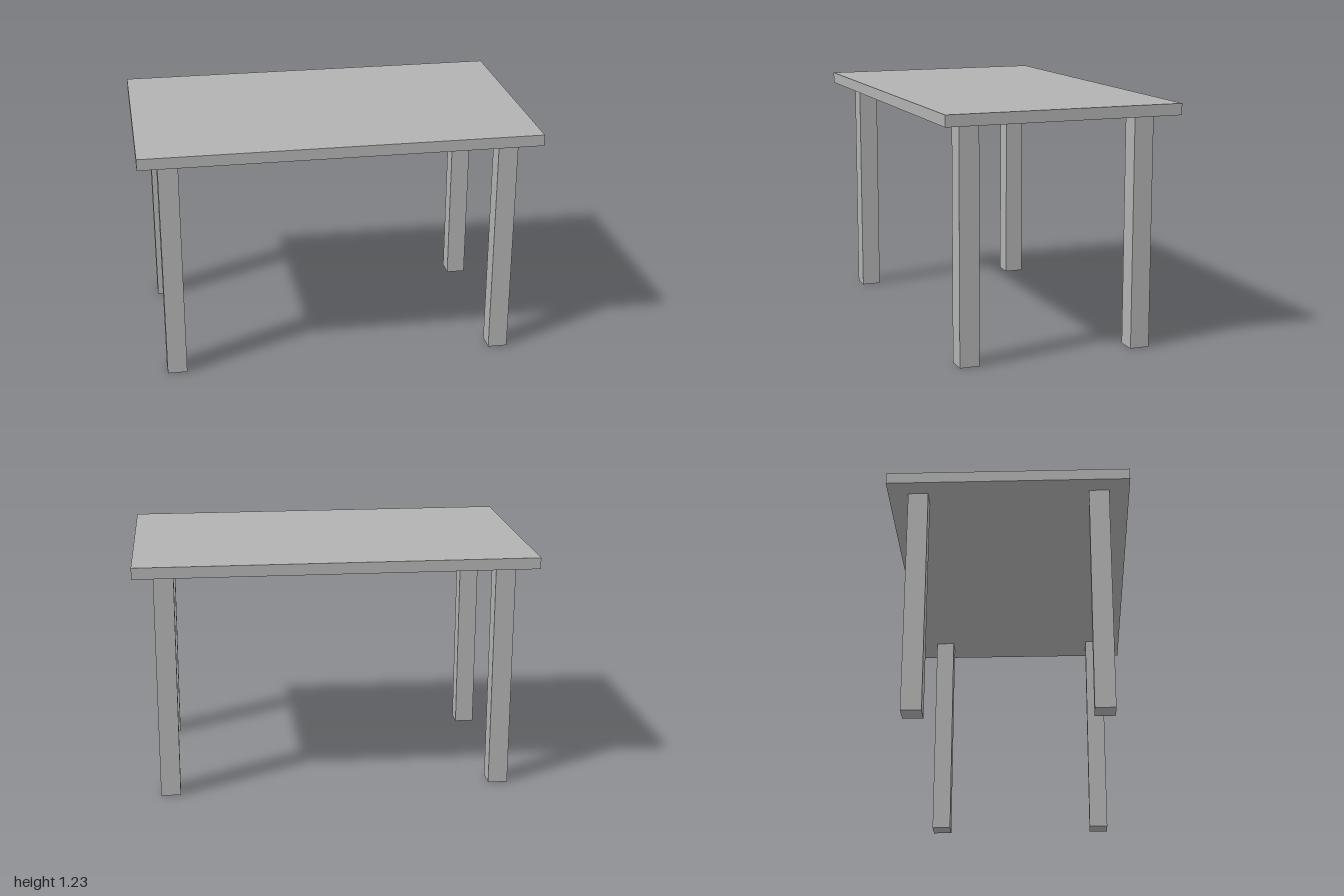
import * as THREE from 'three';

const HEIGHT = 1.23;
const TOP_THICKNESS = 0.057;
const LEG_HEIGHT = HEIGHT - TOP_THICKNESS;
const LEG_WIDTH = 0.1;

export function createModel() {
  const table = new THREE.Group();
  table.name = 'table';
  const grey = new THREE.MeshStandardMaterial({ color: 0xb2b2b2 });
  grey.name = 'grey';

  // Flat rectangular slab
  const top = new THREE.Mesh(new THREE.BoxGeometry(2, TOP_THICKNESS, 1.2), grey);
  top.name = 'tableTop';
  top.position.y = HEIGHT - TOP_THICKNESS / 2;
  table.add(top);

  // Four square legs, set in from the corners
  const legGeometry = new THREE.BoxGeometry(LEG_WIDTH, LEG_HEIGHT, LEG_WIDTH);
  for (const [xName, x] of [['Left', 0.85], ['Right', -0.85]]) {
    for (const [zName, z] of [['front', 0.45], ['back', -0.45]]) {
      const leg = new THREE.Mesh(legGeometry, grey);
      leg.name = `${zName}${xName}Leg`;
      leg.position.set(x, LEG_HEIGHT / 2, z);
      table.add(leg);
    }
  }
  return table;
}
